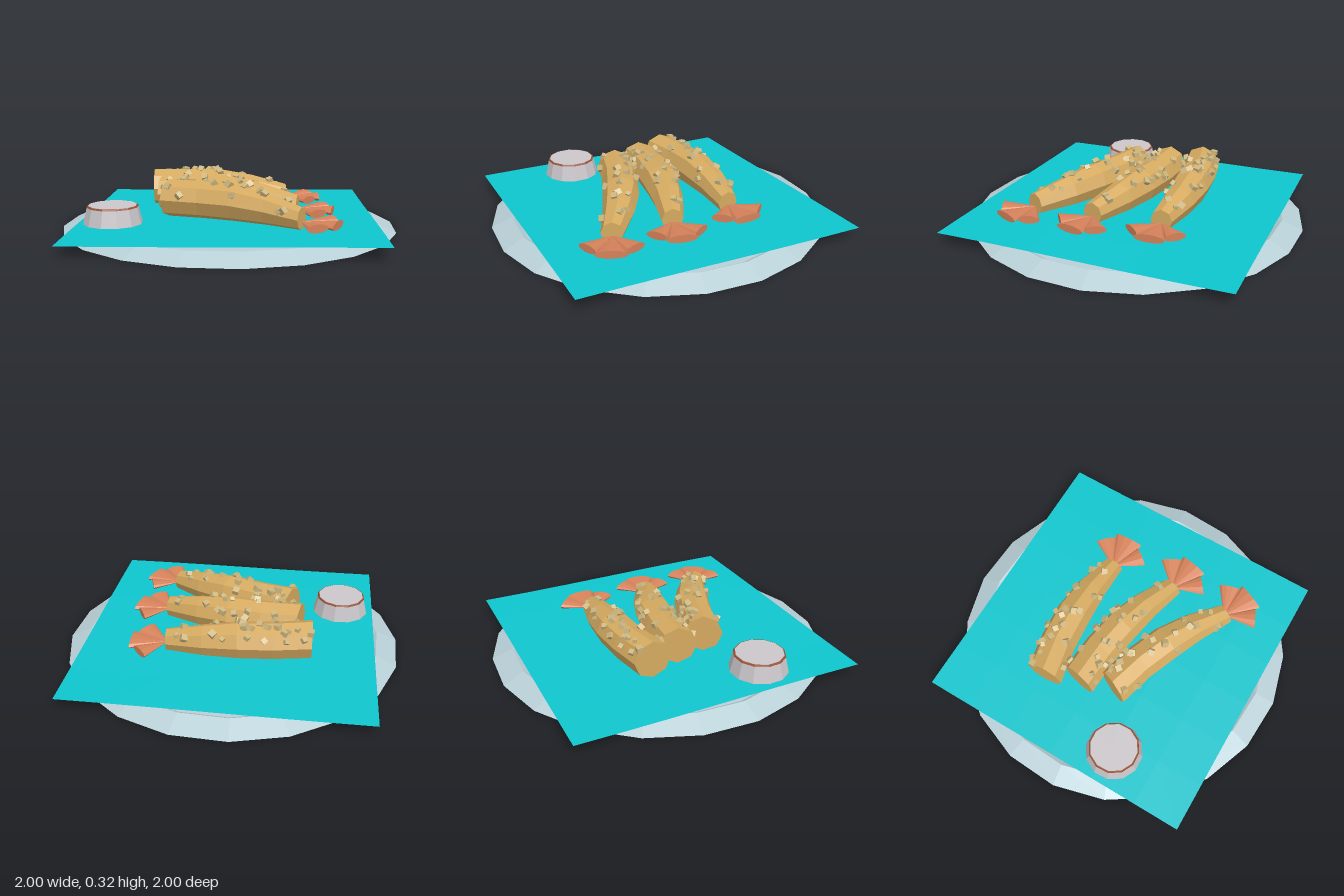
import * as THREE from 'three';

const mat = (name, color, side = THREE.FrontSide) => {
  const m = new THREE.MeshStandardMaterial({ color, side, flatShading: true });
  m.name = name;
  return m;
};

const part = (name, geometry, material, parent) => {
  const m = new THREE.Mesh(geometry, material);
  m.name = name;
  parent.add(m);
  return m;
};

// Small seeded random generator
function seeded(seed) {
  let s = seed;
  return () => {
    s = (s * 16807) % 2147483647;
    return s / 2147483647;
  };
}

const lathe = (points, sides) =>
  new THREE.LatheGeometry(points.map(([r, y]) => new THREE.Vector2(r, y)), sides);

// Shrimp body stations: x, sideways bow, radius
const STATIONS = [
  [-0.415, 0, 0.11], [-0.2, -0.033, 0.108], [0, -0.042, 0.107],
  [0.2, -0.033, 0.09], [0.415, 0, 0.063],
];
const SIDES = 8;
const FLOOR = 0.074;

// Eight-sided loft through the stations, closed at both ends
function bodyGeometry() {
  const pos = [], idx = [];
  for (const [x, z, r] of STATIONS) {
    for (let j = 0; j < SIDES; j++) {
      const a = (j / SIDES) * Math.PI * 2;
      pos.push(x, FLOOR + r + Math.cos(a) * r, z + Math.sin(a) * r);
    }
  }
  const last = (STATIONS.length - 1) * SIDES;
  for (let i = 0; i < STATIONS.length - 1; i++) {
    for (let j = 0; j < SIDES; j++) {
      const k = (j + 1) % SIDES;
      const a = i * SIDES + j, b = i * SIDES + k;
      idx.push(a, b, a + SIDES, b, b + SIDES, a + SIDES);
    }
  }
  for (let j = 1; j < SIDES - 1; j++) {
    idx.push(0, j + 1, j, last, last + j, last + j + 1);
  }
  const g = new THREE.BufferGeometry();
  g.setAttribute('position', new THREE.Float32BufferAttribute(pos, 3));
  g.setIndex(idx);
  g.computeVertexNormals();
  return g;
}

// Flattened cone that widens away from the body
function petalGeometry(width, length, angle) {
  return new THREE.ConeGeometry(width, length, 10)
    .translate(0, -length / 2, 0)
    .rotateZ(Math.PI / 2)
    .scale(1, 0.024 / width, 1)
    .rotateY(angle);
}

function stationAt(x) {
  let i = 0;
  while (i < STATIONS.length - 2 && x > STATIONS[i + 1][0]) i++;
  const a = STATIONS[i], b = STATIONS[i + 1];
  const t = (x - a[0]) / (b[0] - a[0]);
  return [a[1] + (b[1] - a[1]) * t, a[2] + (b[2] - a[2]) * t];
}

function makeShrimp(mats, seed) {
  const g = new THREE.Group();
  part('shrimpBody', bodyGeometry(), mats.batter, g);

  // Tail fan of three petals
  for (const [w, l, a] of [[0.09, 0.21, 0], [0.064, 0.19, 0.72], [0.064, 0.19, -0.72]]) {
    part('tailPetal', petalGeometry(w, l, a), mats.tail, g).position.set(0.41, 0.12, 0);
  }

  // Crumbs scattered over the upper surface
  const rnd = seeded(seed);
  const crumbs = new THREE.Group();
  crumbs.name = 'crumbs';
  g.add(crumbs);
  for (let i = 0; i < 24; i++) {
    const x = -0.41 + 0.76 * Math.pow(rnd(), 1.15);
    const a = (rnd() - 0.5) * 2.7;
    const [z, r] = stationAt(x);
    const s = 0.024 + rnd() * 0.014;
    const c = part('crumb', new THREE.BoxGeometry(s, s * 0.85, s), mats.crumb, crumbs);
    c.position.set(x, FLOOR + r + Math.cos(a) * r, z + Math.sin(a) * r);
    c.rotation.set(a + rnd() * 0.6, rnd() * 3, rnd() * 0.6);
  }
  return g;
}

export function createModel() {
  const root = new THREE.Group();
  root.name = 'friedShrimpPlate';
  const mats = {
    plate: mat('plateBlueGrey', 0xb8cfd6),
    napkin: mat('napkinTeal', 0x0fc5cd, THREE.DoubleSide),
    batter: mat('goldenBatter', 0xd5aa60),
    crumb: mat('paleCrumb', 0xccb57e),
    tail: mat('tailOrange', 0xd5825a),
    cup: mat('cupGrey', 0xcac6ca),
    rim: mat('rimBrown', 0x9c5232),
  };

  // Plate with sloped rim and shallow well
  part('plate', lathe([[0, 0], [0.99, 0], [0.87, 0.054], [0.84, 0.036], [0, 0.036]], 20),
    mats.plate, root);

  // Napkin with a gentle ripple
  const cloth = new THREE.PlaneGeometry(1.687, 1.687, 6, 6).rotateX(-Math.PI / 2);
  const p = cloth.attributes.position;
  for (let i = 0; i < p.count; i++) {
    const x = p.getX(i), z = p.getZ(i);
    p.setY(i, 0.067 + 0.005 * Math.sin(x * 2.2) + 0.004 * Math.sin(z * 3));
  }
  part('napkin', cloth, mats.napkin, root).rotation.y = THREE.MathUtils.degToRad(12);

  // Sauce cup
  const cup = new THREE.Group();
  cup.name = 'sauceCup';
  cup.position.set(-0.563, 0, 0.44);
  root.add(cup);
  part('cupWall', lathe([[0, 0.07], [0.168, 0.07], [0.145, 0.166], [0, 0.166]], 12), mats.cup, cup);
  part('cupRim', new THREE.CylinderGeometry(0.143, 0.147, 0.008, 12), mats.rim, cup).position.y = 0.168;
  part('sauce', new THREE.CylinderGeometry(0.137, 0.137, 0.006, 12), mats.cup, cup).position.y = 0.171;

  // Three shrimp spread like a fan
  const layout = [
    ['backShrimp', -0.12, -0.25, 14, 11],
    ['middleShrimp', 0.005, 0.02, 0, 2024],
    ['frontShrimp', 0.095, 0.285, -12.5, 777],
  ];
  for (const [name, x, z, deg, seed] of layout) {
    const s = makeShrimp(mats, seed * 7919);
    s.name = name;
    s.position.set(x, 0, z);
    s.rotation.y = THREE.MathUtils.degToRad(deg);
    root.add(s);
  }
  return root;
}
